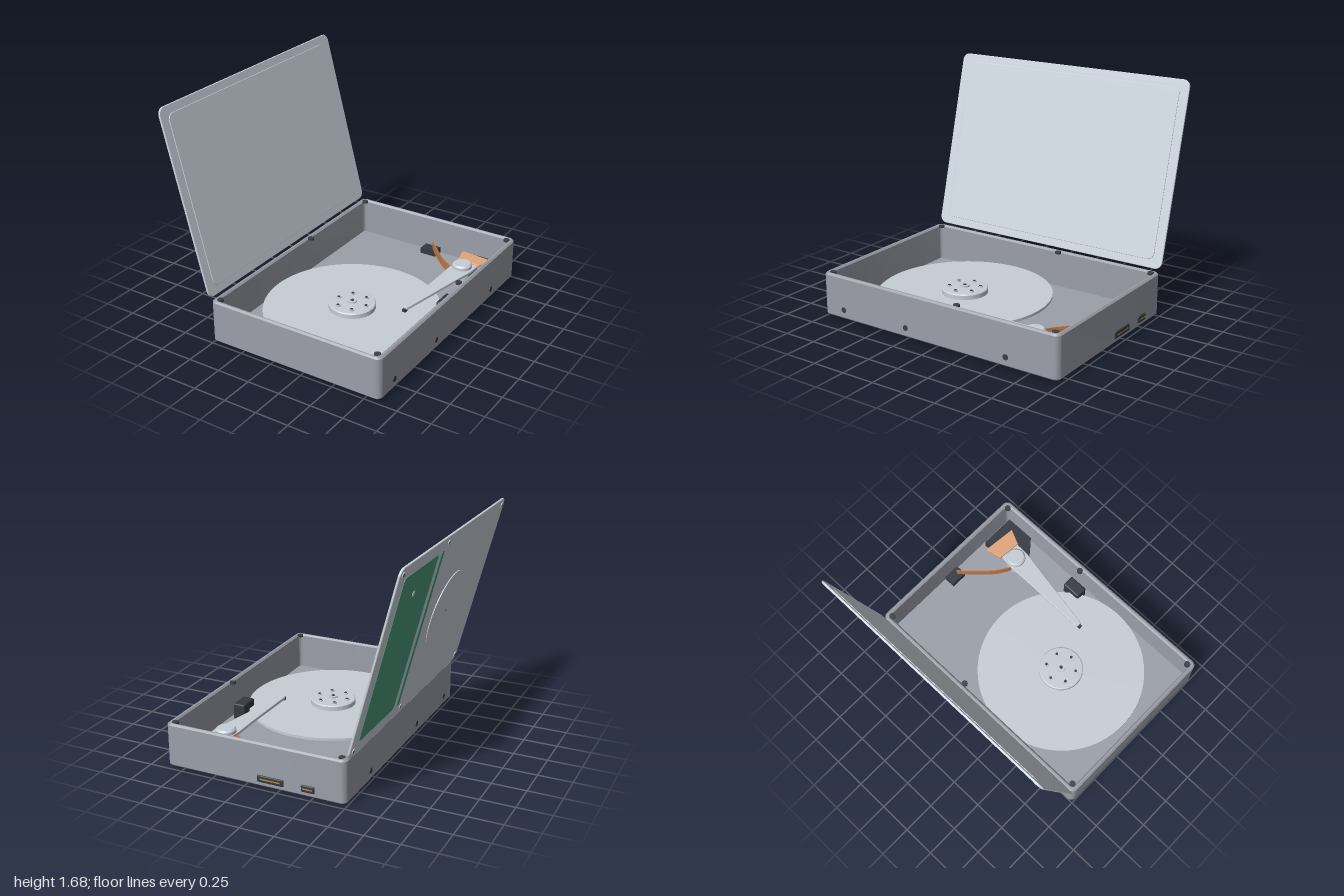
import * as THREE from 'three';
import { toCreasedNormals } from 'three/addons/utils/BufferGeometryUtils.js';
import { RoundedBoxGeometry } from 'three/addons/geometries/RoundedBoxGeometry.js';

const mat = (name, color) => {
  const m = new THREE.MeshStandardMaterial({ color });
  m.name = name;
  return m;
};

// Rounded rectangle in plan; shape y stands for -z
function roundRect(x0, x1, z0, z1, r, Type = THREE.Shape) {
  const s = new Type();
  const y0 = -z1, y1 = -z0;
  s.moveTo(x0 + r, y0);
  s.lineTo(x1 - r, y0);
  s.absarc(x1 - r, y0 + r, r, -Math.PI / 2, 0);
  s.lineTo(x1, y1 - r);
  s.absarc(x1 - r, y1 - r, r, 0, Math.PI / 2);
  s.lineTo(x0 + r, y1);
  s.absarc(x0 + r, y1 - r, r, Math.PI / 2, Math.PI);
  s.lineTo(x0, y0 + r);
  s.absarc(x0 + r, y0 + r, r, Math.PI, Math.PI * 1.5);
  return s;
}

// Polygon in plan from [x, z] pairs
const polygon = (pts) => new THREE.Shape(pts.map(([x, z]) => new THREE.Vector2(x, -z)));

// Horizontal slab between two heights, with an optional chamfer
function slab(shape, y0, y1, bevel = 0) {
  const g = new THREE.ExtrudeGeometry(shape, {
    depth: y1 - y0 - 2 * bevel, curveSegments: 10, bevelEnabled: bevel > 0,
    bevelSize: bevel, bevelThickness: bevel, bevelOffset: -bevel, bevelSegments: 1,
  });
  g.rotateX(-Math.PI / 2).translate(0, y0 + bevel, 0);
  return toCreasedNormals(g, 0.5);
}

function add(parent, name, geometry, material, x = 0, y = 0, z = 0) {
  const m = new THREE.Mesh(geometry, material);
  m.name = name;
  m.position.set(x, y, z);
  parent.add(m);
  return m;
}

// Upright cylinder given by bottom and top heights
function post(parent, name, material, r, y0, y1, x, z, rTop = r) {
  const g = new THREE.CylinderGeometry(rTop, r, y1 - y0, r > 0.25 ? 96 : r > 0.05 ? 40 : 16);
  return add(parent, name, g, material, x, (y0 + y1) / 2, z);
}

export function createModel() {
  const root = new THREE.Group();
  root.name = 'openDiskDrive';
  const casing = mat('casing grey', 0x9b9fa9);
  const cover = mat('cover grey', 0xcdd6de);
  const silver = mat('polished silver', 0xc7ced6);
  const black = mat('black plastic', 0x343941);
  const steel = mat('dark screw steel', 0x3a3f46);
  const green = mat('circuit green', 0x359665);
  const labelGreen = mat('label green', 0x4f9c7d);
  const copper = mat('copper coil', 0xe1a67d);
  const ribbonBrown = mat('ribbon brown', 0xc07c48);
  const gold = mat('gold contact', 0xb8893f);

  // Casing: wall ring and floor
  const body = new THREE.Group();
  body.name = 'casing';
  root.add(body);
  const ring = roundRect(-0.504, 0.868, -0.993, 0.998, 0.045);
  ring.holes.push(roundRect(-0.468, 0.831, -0.958, 0.963, 0.025, THREE.Path));
  add(body, 'wall', slab(ring, 0.02, 0.34, 0.012), casing);
  add(body, 'floor', slab(roundRect(-0.487, 0.851, -0.977, 0.982, 0.03), 0.02, 0.06), casing);

  // Rim screws and side mounting screws
  for (const x of [-0.454, 0.817]) {
    for (const z of [-0.94, -0.16, 0.945]) post(body, 'rimScrew', steel, 0.023, 0.326, 0.342, x, z);
  }
  for (const [x, s] of [[-0.504, -1], [0.868, 1]]) {
    for (const z of [-0.59, 0.245, 0.81]) {
      const screw = post(body, 'sideScrew', steel, 0.021, 0.082, 0.098, x - s * 0.005, z);
      screw.rotation.z = Math.PI / 2;
    }
  }

  // Rear connectors
  for (const [x, w] of [[0.05, 0.2], [-0.23, 0.1]]) {
    add(body, 'rearSocket', new RoundedBoxGeometry(w, 0.05, 0.03, 2, 0.008), black, x, 0.08, -0.988);
    add(body, 'rearContacts', new THREE.BoxGeometry(w * 0.75, 0.01, 0.004), gold, x, 0.08, -1.002);
  }

  // Circuit board underneath
  const board = new THREE.Group();
  board.name = 'circuitBoard';
  root.add(board);
  add(board, 'board', slab(roundRect(-0.415, 0.775, -0.915, 0.44, 0.03), 0.003, 0.021), green);
  for (const [x, z] of [[0.71, -0.85], [-0.35, -0.85], [0.71, 0.375]]) {
    post(board, 'boardPad', gold, 0.019, 0, 0.006, x, z);
  }

  // Platter and spindle
  const spindle = new THREE.Group();
  spindle.name = 'spindle';
  spindle.position.set(0.179, 0, 0.245);
  root.add(spindle);
  post(spindle, 'motor', casing, 0.2, 0.06, 0.12, 0, 0);
  post(spindle, 'platter', silver, 0.643, 0.115, 0.135, 0, 0);
  const hub = [[0.17, 0.13], [0.17, 0.168], [0.163, 0.174], [0, 0.18]].map((p) => new THREE.Vector2(...p));
  add(spindle, 'hub', toCreasedNormals(new THREE.LatheGeometry(hub, 48), 0.5), silver);
  post(spindle, 'hubBoss', silver, 0.034, 0.176, 0.19, 0, 0);
  post(spindle, 'hubCentre', steel, 0.013, 0.188, 0.193, 0, 0);
  for (let i = 0; i < 6; i++) {
    const a = (i * Math.PI) / 3;
    const x = 0.115 * Math.cos(a), z = 0.115 * Math.sin(a);
    post(spindle, 'hubScrew', silver, 0.018, 0.172, 0.184, x, z);
    post(spindle, 'hubScrewSocket', steel, 0.011, 0.182, 0.186, x, z);
  }

  // Magnet, arm, coil and pivot
  const actuator = new THREE.Group();
  actuator.name = 'actuator';
  actuator.position.x = 0.004;
  root.add(actuator);
  const magnet = polygon([[0.54, -0.928], [0.818, -0.928], [0.818, -0.69], [0.69, -0.585], [0.57, -0.74]]);
  add(actuator, 'magnet', slab(magnet, 0.06, 0.14), black);
  const arm = polygon([[0.525, -0.73], [0.69, -0.715], [0.685, -0.6], [0.645, -0.4], [0.555, 0.09],
    [0.545, 0.105], [0.515, 0.105], [0.506, 0.09], [0.514, -0.4], [0.512, -0.6]]);
  add(actuator, 'arm', slab(arm, 0.155, 0.178, 0.003), silver);
  add(actuator, 'readHead', new THREE.BoxGeometry(0.028, 0.02, 0.03), black, 0.53, 0.152, 0.107);
  const coil = polygon([[0.485, -0.862], [0.75, -0.836], [0.695, -0.715], [0.515, -0.732]]);
  add(actuator, 'coil', slab(coil, 0.15, 0.185, 0.003), copper);
  post(actuator, 'pivotPost', silver, 0.074, 0.06, 0.2, 0.595, -0.64);
  post(actuator, 'pivotCap', silver, 0.074, 0.2, 0.213, 0.595, -0.64, 0.062);

  // Parking latch beside the platter
  add(root, 'latch', new RoundedBoxGeometry(0.095, 0.13, 0.155, 2, 0.012), black, 0.742, 0.125, -0.135);

  // Flexible ribbon standing on edge, from its socket to the arm
  add(root, 'ribbonSocket', new THREE.BoxGeometry(0.13, 0.05, 0.09), black, 0.18, 0.08, -0.911);
  const path = new THREE.SplineCurve([[0.2, -0.91], [0.3, -0.8], [0.42, -0.685], [0.525, -0.62]]
    .map((p) => new THREE.Vector2(...p)));
  const edges = [[], []];
  for (let i = 0; i <= 20; i++) {
    const p = path.getPoint(i / 20), t = path.getTangent(i / 20);
    edges.forEach((edge, k) => {
      const d = k ? 0.004 : -0.004;
      edge.push([p.x - t.y * d, p.y + t.x * d]);
    });
  }
  add(root, 'ribbonCable', slab(polygon([...edges[0], ...edges[1].reverse()]), 0.1, 0.165), ribbonBrown);

  // Cover, modelled closed and swung open about its long edge
  const lid = new THREE.Group();
  lid.name = 'cover';
  lid.position.set(-0.505, 0.352, 0.002);
  lid.rotation.z = THREE.MathUtils.degToRad(104.7);
  root.add(lid);
  add(lid, 'coverPlate', slab(roundRect(0, 1.37, -0.995, 0.995, 0.055), 0, 0.016, 0.003), cover);
  add(lid, 'coverInnerPanel', slab(roundRect(0.06, 1.31, -0.925, 0.925, 0.05), -0.005, 0.002, 0.002), cover);
  add(lid, 'coverLabel', slab(roundRect(0.1, 1.28, -0.89, -0.32, 0.03), 0.015, 0.019), labelGreen);
  add(lid, 'coverLabelStrip', slab(roundRect(0.1, 1.28, -0.26, -0.215, 0.01), 0.015, 0.019), labelGreen);
  post(lid, 'coverDisc', cover, 0.3, 0.014, 0.022, 0.684, 0.245);
  post(lid, 'coverDiscScrew', steel, 0.009, 0.018, 0.024, 0.684, 0.245);
  post(lid, 'coverPivotScrew', cover, 0.022, 0.016, 0.022, 1.1, -0.64);
  for (const x of [0.05, 1.32]) {
    for (const z of [-0.942, -0.16, 0.942]) {
      post(lid, 'coverScrewSeat', cover, 0.022, 0.014, 0.02, x, z);
      post(lid, 'coverScrewHole', steel, 0.011, 0.016, 0.021, x, z);
    }
  }
  return root;
}
